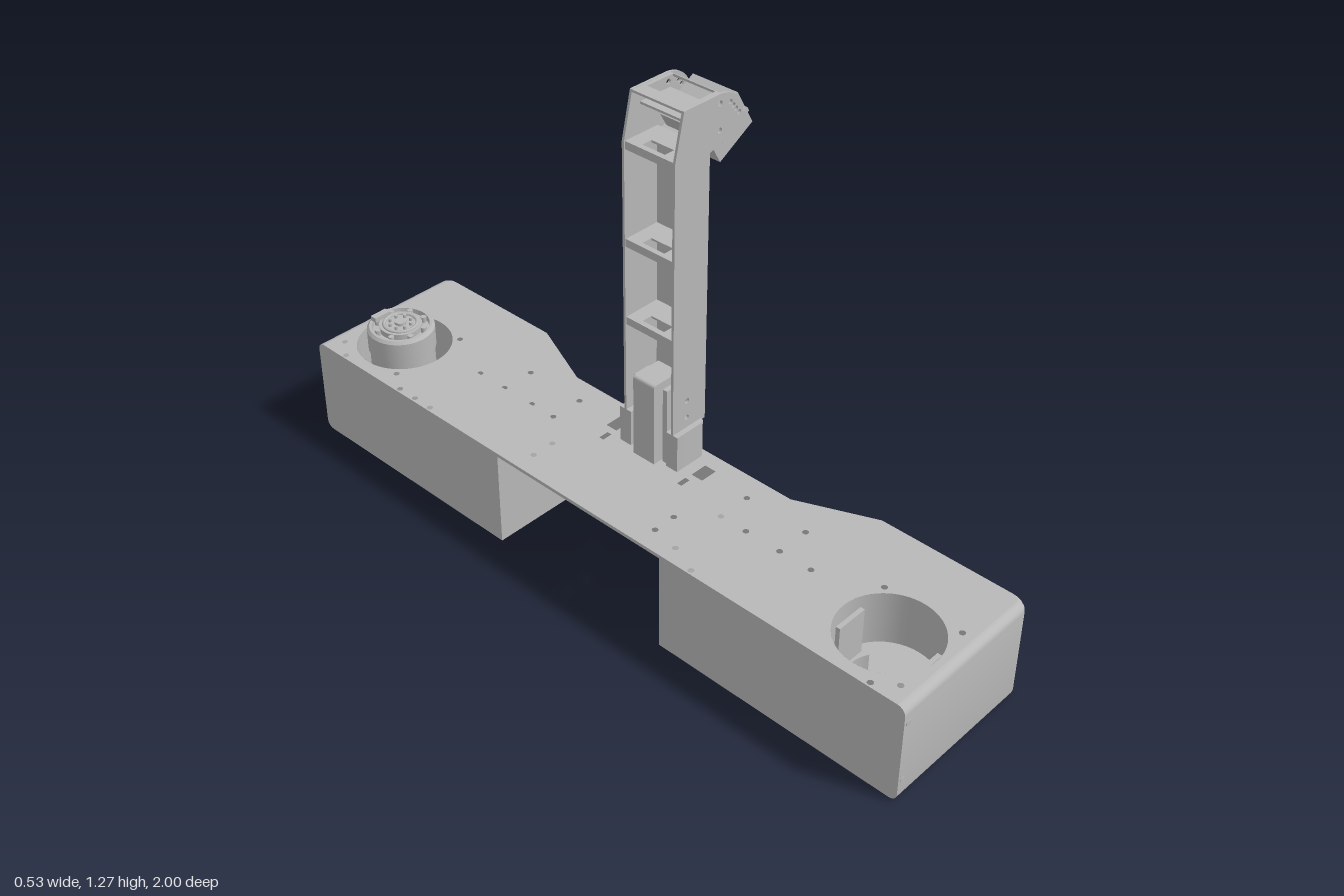
import * as THREE from 'three';
import { toCreasedNormals } from 'three/addons/utils/BufferGeometryUtils.js';

const grey = new THREE.MeshStandardMaterial({ color: 0xb8b8b8, side: THREE.DoubleSide });
grey.name = 'bare metal grey';

const H = 0.285, R = 0.022, WELL_X = -0.107, WELL_Z = 0.83;

function add(parent, name, geo, x = 0, y = 0, z = 0) {
  const m = new THREE.Mesh(geo, grey);
  m.name = name;
  m.position.set(x, y, z);
  parent.add(m);
  return m;
}
const box = (w, h, d) => new THREE.BoxGeometry(w, h, d);
const cyl = (r, h, seg = 32, open = false) => new THREE.CylinderGeometry(r, r, h, seg, 1, open);
const poly = pts => new THREE.Shape(pts.map(p => new THREE.Vector2(...p)));
const circle = (x, y, r) => new THREE.Path().absarc(x, y, r, 0, Math.PI * 2, true);
const extrude = (shape, depth) =>
  new THREE.ExtrudeGeometry(shape, { depth, bevelEnabled: false, curveSegments: 10 });

function rectHole(x, y, w, h) {
  const p = new THREE.Path();
  p.moveTo(x - w / 2, y - h / 2);
  p.lineTo(x - w / 2, y + h / 2);
  p.lineTo(x + w / 2, y + h / 2);
  p.lineTo(x + w / 2, y - h / 2);
  p.closePath();
  return p;
}

// Plan outline of the base (x, -z); the ends are pulled in by `inset`
function plan(inset, recess) {
  const arc = (cy, start) => [0, 1, 2, 3, 4].map(i => {
    const a = start + (i / 4) * Math.PI / 2;
    return [0.17 + 0.02 * Math.cos(a), cy + 0.02 * Math.sin(a)];
  });
  const pts = [[-0.27, -1], ...arc(-0.98, -Math.PI / 2), [0.19, -0.58], [0.1, -0.37],
    [0.1, 0.37], [0.19, 0.58], ...arc(0.98, 0), [-0.27, 1]];
  if (recess) pts.push([-0.27, 0.28], [-0.04, 0.28], [-0.04, -0.28], [-0.27, -0.28]);
  return pts.map(([x, v]) => [x, Math.abs(v) > 0.9 ? v - Math.sign(v) * inset : v]);
}

// Base walls: plan rings stacked so the end edges are rounded top and bottom
function wallGeometry() {
  const levels = [];
  for (let i = 0; i <= 5; i++) {
    const a = (i / 5) * Math.PI / 2;
    levels.push([R * (1 - Math.cos(a)), R * (1 - Math.sin(a))]);
  }
  const all = [...levels, ...levels.map(([y, s]) => [H - y, s]).reverse()];
  const pos = [], idx = [];
  let n = 0;
  for (const [y, s] of all) {
    const ring = plan(s, true);
    n = ring.length;
    ring.forEach(([x, v]) => pos.push(x, y, -v));
  }
  for (let k = 0; k < all.length - 1; k++)
    for (let i = 0; i < n; i++) {
      const a = k * n + i, b = k * n + (i + 1) % n;
      idx.push(a, b, b + n, a, b + n, a + n);
    }
  const g = new THREE.BufferGeometry();
  g.setAttribute('position', new THREE.Float32BufferAttribute(pos, 3));
  g.setIndex(idx);
  return toCreasedNormals(g, 0.5);
}

function buildBase() {
  const base = new THREE.Group();
  base.name = 'base';
  add(base, 'baseWalls', wallGeometry());

  // Top panel with wells, screw holes and cable slots
  const top = poly(plan(R, false));
  const screws = [[-0.258, 0.895], [-0.258, 0.67], [-0.258, 0.61], [-0.258, 0.55], [-0.258, 0.49],
    [-0.258, 0.37], [-0.225, 0.29], [-0.165, 0.475], [-0.065, 0.57], [-0.065, 0.475], [0.03, 0.475],
    [-0.065, 0.37], [-0.065, 0.29], [0.03, 0.29], [-0.21, 0.21], [-0.145, 0.21],
    [-0.22, 0.948], [0.005, 0.948], [-0.22, 0.73], [0.005, 0.73]];
  for (const s of [-1, 1]) {
    top.holes.push(circle(WELL_X, s * WELL_Z, 0.13));
    for (const [x, z] of screws) top.holes.push(circle(x, s * z, 0.008));
    top.holes.push(rectHole(0.03, s * 0.148, 0.05, 0.035), rectHole(-0.03, s * 0.135, 0.03, 0.014));
  }
  add(base, 'topPanel', new THREE.ShapeGeometry(top, 32).rotateX(-Math.PI / 2), 0, H, 0);
  add(base, 'rearLip', box(0.004, 0.01, 0.56), -0.268, H - 0.005, 0);

  // Bottom panel with fixing holes
  const bottom = poly(plan(R, true));
  for (const s of [-1, 1])
    for (const [x, z] of [[-0.19, 0.9], [-0.03, 0.9], [-0.19, 0.72], [-0.03, 0.72], [-0.06, 0.5], [0.03, 0.33], [0.03, 0.1]])
      bottom.holes.push(circle(x, s * z, 0.014));
  add(base, 'bottomPanel', new THREE.ShapeGeometry(bottom, 12).rotateX(Math.PI / 2));

  // End-plate screws
  for (const s of [-1, 1])
    for (const y of [0.06, 0.235])
      add(base, 'endScrew', cyl(0.008, 0.003, 16).rotateX(Math.PI / 2), -0.255, y, s);
  return base;
}

// Collar inside each round opening
function buildWell(z) {
  const g = new THREE.Group();
  g.name = 'well';
  g.position.set(WELL_X, 0, z);
  add(g, 'wellWall', cyl(0.13, 0.15, 48, true), 0, H - 0.075, 0);
  add(g, 'wellFloor', cyl(0.13, 0.01, 48), 0, 0.07, 0);
  return g;
}

function buildMotor() {
  const g = new THREE.Group();
  g.name = 'motor';
  g.position.set(-0.117, 0, -0.828);
  const profile = [[0, 0.07], [0.088, 0.07], [0.088, 0.28], [0.092, 0.282], [0.092, 0.342], [0.085, 0.35],
    [0.078, 0.35], [0.076, 0.336], [0, 0.336]].map(p => new THREE.Vector2(...p));
  add(g, 'motorHousing', toCreasedNormals(new THREE.LatheGeometry(profile, 48), 0.5));
  add(g, 'rotorDisc', cyl(0.058, 0.018), 0, 0.343, 0);
  add(g, 'rotorRing', new THREE.TorusGeometry(0.045, 0.005, 8, 32).rotateX(Math.PI / 2), 0, 0.353, 0);
  add(g, 'hub', cyl(0.016, 0.02, 20), 0, 0.35, 0);
  for (let i = 0; i < 8; i++) {
    const a = (i / 8) * Math.PI * 2 + 0.3;
    add(g, 'rotorBolt', cyl(0.008, 0.02, 12), 0.067 * Math.cos(a), 0.342, 0.067 * Math.sin(a));
    add(g, 'rotorPin', cyl(0.005, 0.012, 10), 0.03 * Math.cos(a), 0.355, 0.03 * Math.sin(a));
  }
  add(g, 'terminal', box(0.05, 0.014, 0.02), -0.02, 0.358, -0.06);
  return g;
}

// Empty socket facing the other way
function buildSocket() {
  const g = new THREE.Group();
  g.name = 'socket';
  g.position.set(WELL_X, 0, WELL_Z);
  add(g, 'socketRing', new THREE.CylinderGeometry(0.095, 0.095, 0.06, 40, 1, true, 2.6, 4.6), 0, 0.1, 0);
  for (const s of [-1, 1]) add(g, 'socketBracket', box(0.09, 0.13, 0.012), 0, 0.195, s * 0.108);
  for (let i = 0; i < 5; i++) {
    const a = 2.2 + i * 0.5;
    add(g, 'socketStud', cyl(0.007, 0.03, 10), 0.075 * Math.cos(a), 0.09, -0.075 * Math.sin(a));
  }
  return g;
}

function buildMast() {
  const g = new THREE.Group();
  g.name = 'mast';

  // Side plates with hooked head
  const side = poly([[-0.013, 0.385], [0.103, 0.385], [0.103, 1.13], [0.205, 1.157]]);
  side.quadraticCurveTo(0.218, 1.162, 0.217, 1.18);
  side.quadraticCurveTo(0.205, 1.262, 0.135, 1.267);
  side.lineTo(0.015, 1.267);
  side.lineTo(-0.013, 1.145);
  for (const [x, y] of [[0.037, 0.42], [0.037, 0.47], [0.135, 1.243], [0.135, 1.175]])
    side.holes.push(circle(x, y, 0.007));
  for (let i = 0; i < 4; i++) side.holes.push(circle(0.17 + i * 0.01, 1.235 - i * 0.012, 0.006));
  for (const z of [-0.083, 0.076]) add(g, 'sidePlate', extrude(side, 0.007), 0, 0, z);

  // Front plate, with fixing holes near the foot
  const front = poly([[-0.08, 0.385], [0.08, 0.385], [0.08, 1.133], [-0.08, 1.133]]);
  for (const s of [-1, 1])
    for (const y of [0.42, 0.47]) front.holes.push(circle(s * 0.043, y, 0.007));
  add(g, 'frontPlate', extrude(front, 0.006).rotateY(Math.PI / 2), 0.097, 0, 0);

  // Top frame and the plates inside the head
  const cap = poly([[0.015, -0.08], [0.14, -0.08], [0.14, 0.08], [0.015, 0.08]]);
  cap.holes.push(rectHole(0.095, 0, 0.085, 0.13));
  add(g, 'topFrame', extrude(cap, 0.006).rotateX(-Math.PI / 2), 0, 1.26, 0);
  add(g, 'headPlate', box(0.1, 0.006, 0.152), 0.09, 1.225, 0);
  const soffit = add(g, 'soffit', box(0.09, 0.005, 0.152), 0.145, 1.143, 0);
  soffit.rotation.z = 0.26;

  // Cross shelves with cable notch
  const shelf = poly([[-0.01, -0.077], [0.098, -0.077], [0.098, 0.077], [-0.01, 0.077]]);
  shelf.holes.push(rectHole(0.02, 0, 0.03, 0.07));
  for (const y of [0.66, 0.88, 1.14]) {
    add(g, 'shelf', extrude(shelf, 0.006).rotateX(-Math.PI / 2), 0, y, 0);
    add(g, 'shelfLip', box(0.004, 0.018, 0.152), -0.008, y - 0.006, 0);
  }

  // Tilted camera box with lens slot
  const cam = new THREE.Group();
  cam.name = 'cameraHead';
  cam.position.set(0.182, 1.16, 0);
  cam.rotation.z = Math.PI / 6;
  add(cam, 'cameraBox', box(0.127, 0.11, 0.138), 0, 0, 0);
  const slot = add(cam, 'lensSlot', new THREE.CapsuleGeometry(0.016, 0.02, 6, 16), 0.0635, -0.005, 0);
  slot.scale.x = 0.15;
  for (const s of [-1, 1]) add(cam, 'cameraEar', box(0.1, 0.012, 0.012), 0.012, 0.0, s * 0.074);
  g.add(cam);

  // Foot: U-shaped socket, open to the rear
  const foot = new THREE.Shape();
  foot.moveTo(-0.013, -0.098);
  foot.lineTo(0.07, -0.098);
  foot.quadraticCurveTo(0.09, -0.098, 0.09, -0.078);
  foot.lineTo(0.09, 0.078);
  foot.quadraticCurveTo(0.09, 0.098, 0.07, 0.098);
  for (const p of [[-0.013, 0.098], [-0.013, 0.06], [0.06, 0.06], [0.06, -0.06], [-0.013, -0.06]]) foot.lineTo(...p);
  foot.closePath();
  add(g, 'foot', toCreasedNormals(extrude(foot, 0.105).rotateX(-Math.PI / 2), 0.5), 0, H, 0);

  // Inner post rising inside the channel
  const post = poly([[-0.03, H], [0.06, H], [0.06, 0.522], [-0.02, 0.522]]);
  post.quadraticCurveTo(-0.03, 0.522, -0.03, 0.512);
  add(g, 'innerPost', extrude(post, 0.07), 0, 0, -0.035);
  for (const s of [-1, 1]) add(g, 'postRail', box(0.05, 0.22, 0.014), 0.02, H + 0.11, s * 0.048);
  return g;
}

export function createModel() {
  const model = new THREE.Group();
  model.name = 'mastOnBase';
  model.add(buildBase(), buildWell(-WELL_Z), buildWell(WELL_Z), buildMotor(), buildSocket(), buildMast());
  // centre on x
  model.children.forEach(c => { c.position.x += 0.0025; });
  return model;
}
